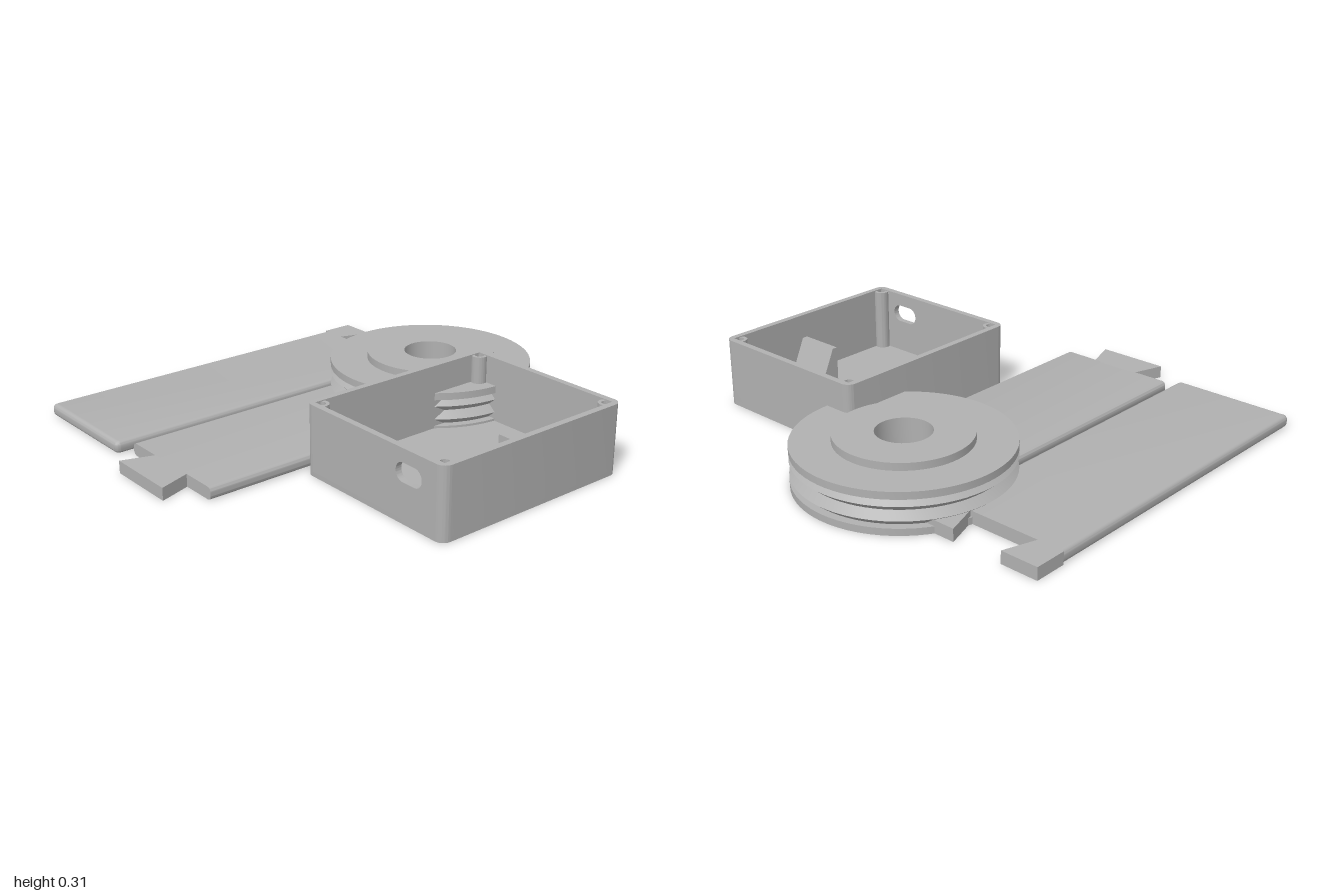
import * as THREE from 'three';
import { toCreasedNormals } from 'three/addons/utils/BufferGeometryUtils.js';

const grey = new THREE.MeshStandardMaterial({ color: 0xb0b0b0 });
grey.name = 'grey plastic';

function add(parent, name, geometry) {
  const mesh = new THREE.Mesh(toCreasedNormals(geometry, 0.6), grey);
  mesh.name = name;
  parent.add(mesh);
  return mesh;
}

// Polygon in plan from [x, z] corners
const plan = (pts) => new THREE.Shape(pts.map(([x, z]) => new THREE.Vector2(x, -z)));

// Rounded rectangle, drawn in shape coordinates
function roundRect(x0, y0, x1, y1, r) {
  const s = new THREE.Shape();
  s.absarc(x1 - r, y1 - r, r, 0, Math.PI / 2);
  s.absarc(x0 + r, y1 - r, r, Math.PI / 2, Math.PI);
  s.absarc(x0 + r, y0 + r, r, Math.PI, Math.PI * 1.5);
  s.absarc(x1 - r, y0 + r, r, Math.PI * 1.5, Math.PI * 2);
  s.closePath();
  return s;
}

function circle(x, z, r, clockwise = false) {
  const s = new THREE.Shape();
  s.absarc(x, -z, r, 0, Math.PI * 2, clockwise);
  return s;
}

// Raise a plan shape from y0 to y1
function raise(shape, y0, y1) {
  return new THREE.ExtrudeGeometry(shape, { depth: y1 - y0, bevelEnabled: false, curveSegments: 32 })
    .rotateX(-Math.PI / 2).translate(0, y0, 0);
}

// Run a front-facing shape from z0 to z1
function run(shape, z0, z1) {
  return new THREE.ExtrudeGeometry(shape, { depth: z1 - z0, bevelEnabled: false, curveSegments: 8 })
    .translate(0, 0, z0);
}

function socketArm() {
  const g = new THREE.Group();
  g.name = 'socketArm';
  const t = 0.055, r = 0.02, back = -0.635;
  // Bar with rounded sides and front, cut flat at the back
  const bar = new THREE.ExtrudeGeometry(
    roundRect(-1 + r, -0.92 + r, -0.435 - r, 0.7, 0.004),
    { depth: t - 2 * r, bevelThickness: r, bevelSize: r, bevelSegments: 5, curveSegments: 3 }
  ).rotateX(-Math.PI / 2).translate(0, r, 0);
  const p = bar.attributes.position;
  for (let i = 0; i < p.count; i++) p.setZ(i, Math.max(p.getZ(i), back));
  add(g, 'socketBar', bar);
  // Prongs on either side of the dovetail socket
  add(g, 'rightProng', raise(plan([[-1, back], [-0.88, back], [-0.832, -0.78], [-1, -0.78]]), 0, t));
  add(g, 'leftProng', raise(plan([[-0.555, back], [-0.435, back], [-0.435, -0.78], [-0.603, -0.78]]), 0, t));
  return g;
}

function pulleyArm() {
  const g = new THREE.Group();
  g.name = 'pulleyArm';
  const cx = -0.12, cz = -0.545;
  add(g, 'armBar', run(roundRect(-0.397, 0, 0.17, 0.055, 0.02), -0.3, 0.86));
  add(g, 'dovetail', raise(plan([[-0.225, 0.85], [-0.275, 1], [0.05, 1], [0, 0.85]]), 0, 0.055));
  // Base disc, its bore slightly offset from the pulley bore
  const base = circle(cx, cz, 0.455);
  base.holes.push(circle(cx + 0.005, cz - 0.012, 0.116, true));
  add(g, 'baseDisc', raise(base, 0, 0.03));
  // Grooved pulley with top flange and hub
  const profile = [
    [0.118, 0.03], [0.42, 0.03], [0.455, 0.06], [0.42, 0.09], [0.455, 0.12], [0.42, 0.15],
    [0.455, 0.15], [0.455, 0.182], [0.287, 0.182], [0.287, 0.215], [0.118, 0.215], [0.118, 0.03],
  ].map(([x, y]) => new THREE.Vector2(x, y));
  add(g, 'pulley', new THREE.LatheGeometry(profile, 72)).position.set(cx, 0, cz);
  return g;
}

function openBox() {
  const g = new THREE.Group();
  g.name = 'openBox';
  const x0 = 0.2, x1 = 0.997, z0 = -0.54, z1 = 0.42, h = 0.307, w = 0.028, r = 0.04, floor = 0.02;
  add(g, 'boxFloor', raise(roundRect(x0, -z1, x1, -z0, r), 0, floor));
  // Back and side walls, open between the front corners
  const u = new THREE.Shape();
  u.moveTo(x0 + r, -z1);
  u.absarc(x0 + r, -z1 + r, r, Math.PI * 1.5, Math.PI, true);
  u.absarc(x0 + r, -z0 - r, r, Math.PI, Math.PI / 2, true);
  u.absarc(x1 - r, -z0 - r, r, Math.PI / 2, 0, true);
  u.absarc(x1 - r, -z1 + r, r, 0, -Math.PI / 2, true);
  for (const [x, z] of [[x1 - r, z1 - w], [x1 - w, z1 - w], [x1 - w, z0 + w],
    [x0 + w, z0 + w], [x0 + w, z1 - w], [x0 + r, z1 - w]]) u.lineTo(x, -z);
  u.closePath();
  add(g, 'sideWalls', raise(u, floor, h));
  // Front wall with cable slot
  const front = new THREE.Shape([[x0 + r, floor], [x1 - r, floor], [x1 - r, h], [x0 + r, h]]
    .map(([x, y]) => new THREE.Vector2(x, y)));
  front.holes.push(roundRect(0.74, 0.17, 0.882, 0.25, 0.0395));
  add(g, 'frontWall', run(front, z1 - w, z1));
  // Screw posts in the corners
  const inset = 0.044;
  for (const x of [x0 + inset, x1 - inset]) {
    for (const z of [z0 + inset, z1 - inset]) {
      const post = circle(x, z, 0.034);
      post.holes.push(circle(x, z, 0.019, true));
      add(g, 'screwPost', raise(post, floor, h - 0.004));
    }
  }
  // Sloped support block: side profile in (-z, y), turned to run along x
  const block = new THREE.Shape([[0.11, floor], [0.22, floor], [0.135, 0.205], [0.11, 0.205]]
    .map(([a, y]) => new THREE.Vector2(a, y)));
  add(g, 'supportBlock', run(block, 0, 0.205).rotateY(Math.PI / 2).translate(0.747, 0, 0));
  return g;
}

export function createModel() {
  const model = new THREE.Group();
  model.name = 'pulleyArmKit';
  model.add(socketArm(), pulleyArm(), openBox());
  return model;
}
